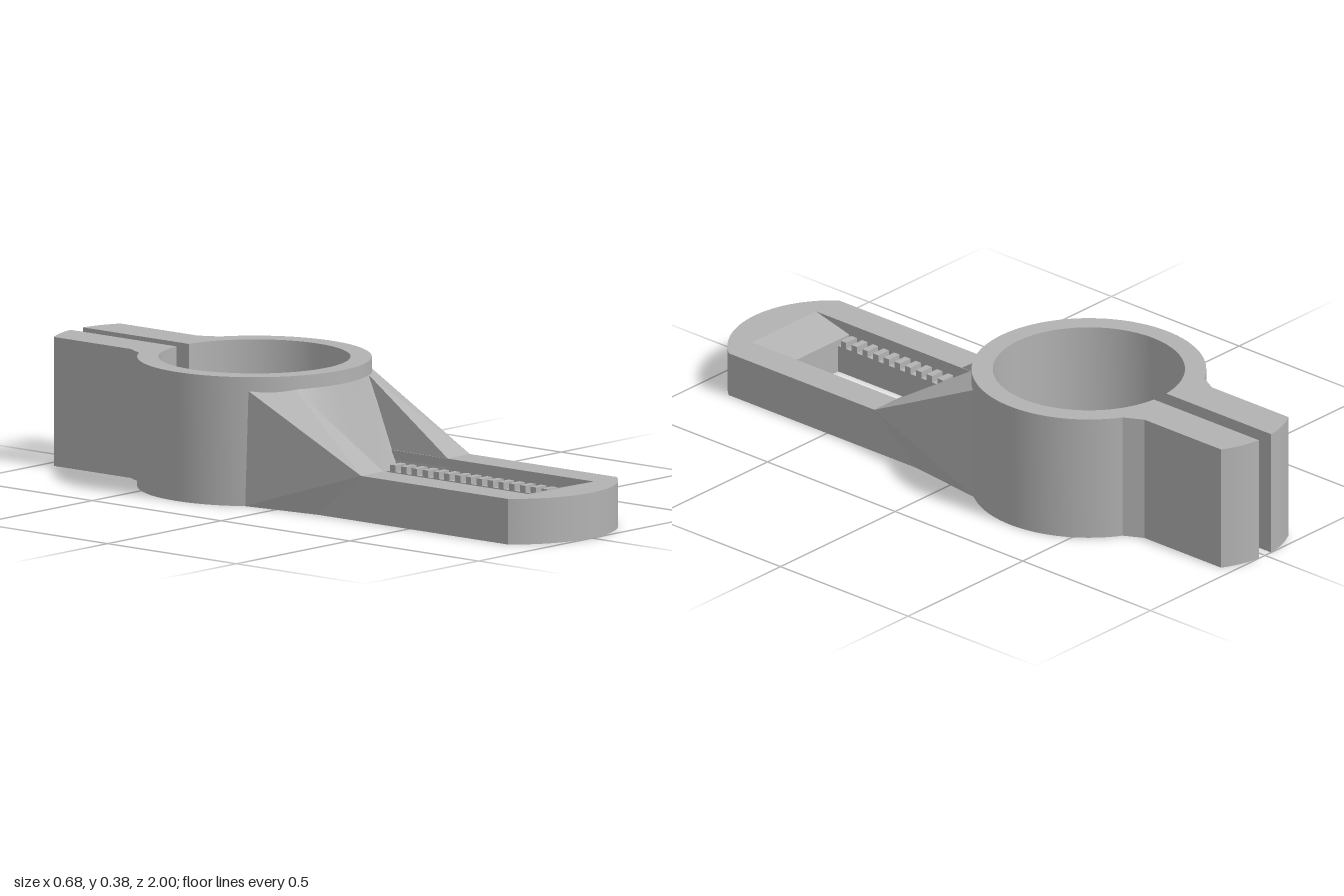
import * as THREE from 'three';
import { toCreasedNormals } from 'three/addons/utils/BufferGeometryUtils.js';
import { ConvexGeometry } from 'three/addons/geometries/ConvexGeometry.js';

const HEIGHT = 0.382, ARM_TOP = 0.135, LEDGE = 0.082, TOOTH_TOP = 0.102;
const RING_Z = -0.31, OUTER = 0.342, INNER = 0.28;

export function createModel() {
  const model = new THREE.Group();
  const grey = new THREE.MeshStandardMaterial({ color: 0xb2b2b2 });
  grey.name = 'plain grey';

  const add = (name, geometry, parent = model) => {
    const mesh = new THREE.Mesh(geometry, grey);
    mesh.name = name;
    parent.add(mesh);
    return mesh;
  };

  // Plan shapes are drawn in (x, -z) and raised from y0 to y1
  const raise = (shape, y0, y1) => {
    const g = new THREE.ExtrudeGeometry(shape, { depth: y1 - y0, bevelEnabled: false, curveSegments: 56 });
    g.rotateX(-Math.PI / 2).translate(0, y0, 0);
    return toCreasedNormals(g, 0.4);
  };

  // Split ring with two clamp ears
  const a = Math.atan2(0.292, 0.178);
  const b = Math.acos(0.027 / INNER);
  const clamp = new THREE.Shape();
  clamp.moveTo(0.027, 1);
  clamp.quadraticCurveTo(0.09, 0.993, 0.147, 0.96);
  clamp.lineTo(0.147, 0.66);
  clamp.lineTo(0.178, 0.602);
  clamp.absarc(0, -RING_Z, OUTER, a, Math.PI - a, true);
  clamp.lineTo(-0.147, 0.66);
  clamp.lineTo(-0.147, 0.96);
  clamp.quadraticCurveTo(-0.09, 0.993, -0.027, 1);
  clamp.absarc(0, -RING_Z, INNER, Math.PI - b, Math.PI * 2 + b, false);
  clamp.closePath();
  add('clampRing', raise(clamp, 0, HEIGHT));

  // Arm outline with a rounded end, starting inside the ring wall
  const armShape = (holeX, z0, z1) => {
    const s = new THREE.Shape();
    const r = 0.308, cz = 0.692, e = Math.atan2(0.193, 0.24);
    const root = 0.315, k = Math.acos(0.24 / root);
    s.absarc(0, -cz, r, Math.PI + e, Math.PI * 2 - e, false);
    s.absarc(0, -RING_Z, root, -k, -Math.PI + k, true);
    s.closePath();
    const h = new THREE.Path();
    h.moveTo(-holeX, -z0);
    h.lineTo(holeX, -z0);
    h.lineTo(holeX, -z1);
    h.lineTo(-holeX, -z1);
    h.closePath();
    s.holes.push(h);
    return s;
  };
  add('armBase', raise(armShape(0.092, 0.125, 0.755), 0, LEDGE));
  add('armRim', raise(armShape(0.14, 0.04, 0.885), LEDGE, ARM_TOP));

  // Ramp at the outer end of the slot
  const ramp = new THREE.Shape([[0.755, LEDGE], [0.885, LEDGE], [0.885, ARM_TOP], [0.755, TOOTH_TOP]]
    .map(([z, y]) => new THREE.Vector2(z, y)));
  const rampGeo = new THREE.ExtrudeGeometry(ramp, { depth: 0.28, bevelEnabled: false });
  add('slotRamp', rampGeo.rotateY(-Math.PI / 2).translate(0.14, 0, 0));

  // Steep curved panel from the ring down to the slot
  const pos = [], idx = [], n = 16;
  for (let i = 0; i <= n; i++) {
    const t = (i / n) * 2 - 1;
    const x = t * 0.16;
    pos.push(x, 0.342, RING_Z + Math.sqrt(OUTER * OUTER - x * x), t * 0.142, LEDGE, 0.125);
    if (i < n) idx.push(2 * i, 2 * i + 1, 2 * i + 2, 2 * i + 1, 2 * i + 3, 2 * i + 2);
  }
  const panel = new THREE.BufferGeometry();
  panel.setAttribute('position', new THREE.Float32BufferAttribute(pos, 3));
  panel.setIndex(idx);
  panel.computeVertexNormals();
  add('slopedPanel', panel);

  for (const side of [1, -1]) {
    const name = side > 0 ? 'left' : 'right';

    // Brace running from the arm up to the ring
    const corners = [
      [0.24, ARM_TOP, 0.315], [0.142, ARM_TOP, 0.315], [0.268, 0.342, -0.1], [0.162, 0.342, -0.01],
      [0.24, 0, 0.15], [0.274, 0, -0.108], [0.2, 0, 0.15], [0.2, 0, -0.05],
      [0.138, LEDGE, 0.315], [0.138, LEDGE, 0], [0.24, LEDGE, 0.25],
    ].map(([x, y, z]) => new THREE.Vector3(x * side, y, z));
    add(name + 'Brace', new ConvexGeometry(corners));

    // Row of teeth along the slot ledge
    const teeth = new THREE.Group();
    teeth.name = name + 'Teeth';
    const tooth = new THREE.BoxGeometry(0.046, TOOTH_TOP - LEDGE, 0.021);
    for (let i = 0; i < 15; i++) {
      add('tooth', tooth, teeth).position.set(side * 0.115, (LEDGE + TOOTH_TOP) / 2, 0.146 + i * 0.042);
    }
    model.add(teeth);
  }
  return model;
}
